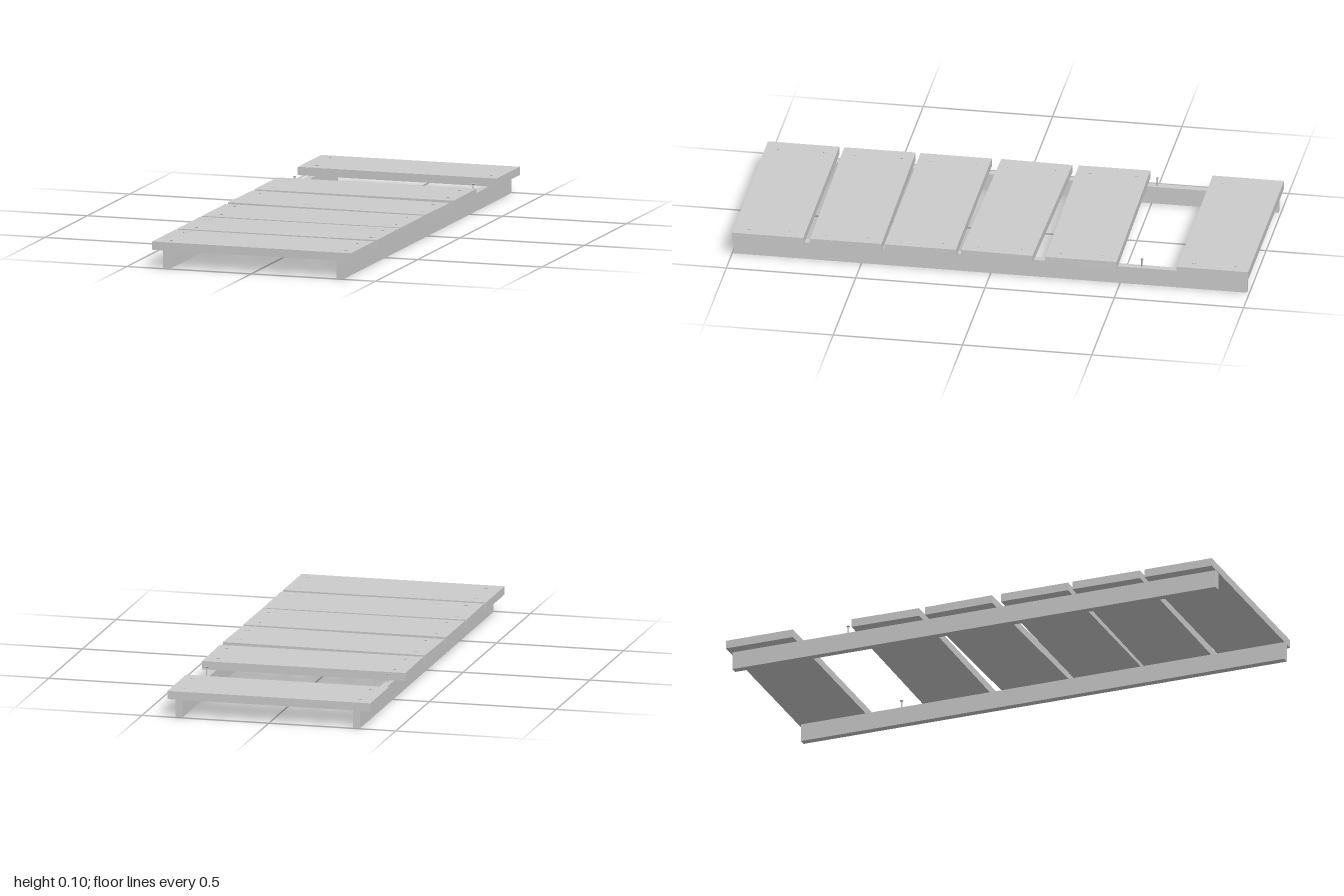
import * as THREE from 'three';

const material = new THREE.MeshStandardMaterial({ color: 0xcccccc, flatShading: true });

function addMesh(parent, name, geometry, x, y, z) {
  const mesh = new THREE.Mesh(geometry, material);
  mesh.name = name;
  mesh.position.set(x, y, z);
  parent.add(mesh);
  return mesh;
}

// nail standing on a rail: thin shank with a flat head
function addNail(parent, x, z) {
  const nail = new THREE.Group();
  nail.name = 'nail';
  nail.position.set(x, 0, z);
  addMesh(nail, 'nailShank', new THREE.CylinderGeometry(0.003, 0.003, 0.04, 8), 0, 0.081, 0);
  addMesh(nail, 'nailHead', new THREE.CylinderGeometry(0.007, 0.004, 0.004, 8), 0, 0.1015, 0);
  parent.add(nail);
}

export function createModel() {
  const model = new THREE.Group();
  model.name = 'plankWalkway';

  // two long rails underneath
  const railX = [-0.343, 0.356];
  for (const x of railX) {
    addMesh(model, 'rail', new THREE.BoxGeometry(0.028, 0.07, 1.985), x, 0.035, 0.002);
  }

  // planks: centre z, twist about y; one plank is missing near the back
  const planks = [
    [-0.862, 0],
    [-0.349, 0.011],
    [-0.036, -0.02],
    [0.268, 0],
    [0.559, 0.009],
    [0.858, 0],
  ];
  for (const [z, twist] of planks) {
    const plank = addMesh(model, 'plank', new THREE.BoxGeometry(0.8, 0.032, 0.276), 0, 0.086, z);
    plank.rotation.y = twist;
    // two nails over each rail, slightly staggered
    railX.forEach((x, i) => {
      addNail(model, x + 0.004, z + 0.09 - i * 0.01);
      addNail(model, x - 0.004, z - 0.09 + i * 0.01);
    });
  }

  // nails left behind by the missing plank
  addNail(model, -0.343, -0.52);
  addNail(model, 0.355, -0.582);

  return model;
}
